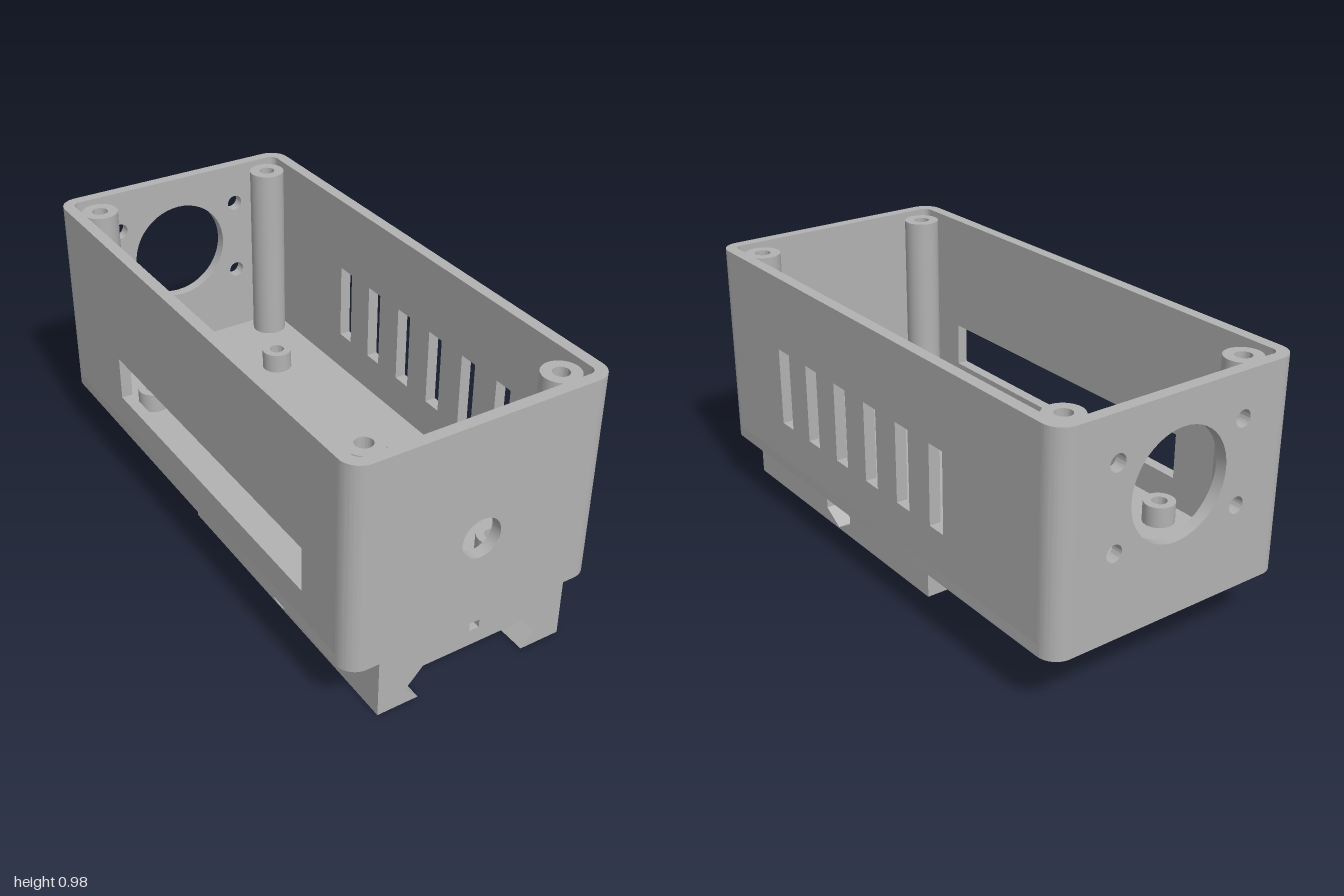
import * as THREE from 'three';
import { toCreasedNormals } from 'three/addons/utils/BufferGeometryUtils.js';

const W = 0.475, L = 1, R = 0.07, T = 0.042;      // case half width, half length, corner radius, wall
const Y0 = 0.215, Y1 = 0.975, FLOOR = Y0 + T;     // case bottom, rim, inner floor
const RX = 0.36, RZ0 = -0.19, RZ1 = 1;            // rail clamp half width and z range
const BOLT = { z: 0.405, y: 0.1, r: 0.055, pocket: 0.095, depth: 0.06 };

export function createModel() {
  const model = new THREE.Group();
  const grey = new THREE.MeshStandardMaterial({ color: 0xb2b2b2 });
  grey.name = 'grey plastic';

  const add = (name, geo) => {
    const mesh = new THREE.Mesh(toCreasedNormals(geo, 0.5), grey);
    mesh.name = name;
    model.add(mesh);
    return mesh;
  };
  const poly = (pts) => new THREE.Shape(pts.map(([x, y]) => new THREE.Vector2(x, y)));
  const rect = (x0, y0, x1, y1) => poly([[x0, y0], [x1, y0], [x1, y1], [x0, y1]]);
  const circle = (x, y, r) => new THREE.Path().absarc(x, y, r, 0, Math.PI * 2, false);
  const extrude = (shape, depth) =>
    new THREE.ExtrudeGeometry(shape, { depth, bevelEnabled: false, curveSegments: 24 });
  // Shape in (x, y), thick along z
  const facing = (shape, z0, z1) => extrude(shape, z1 - z0).translate(0, 0, z0);
  // Shape in (z, y), thick along x
  const sideways = (shape, x0, x1) => extrude(shape, x1 - x0).rotateY(-Math.PI / 2).translate(x1, 0, 0);
  // Shape in (x, -z), thick along y
  const flat = (shape, y0, y1) => extrude(shape, y1 - y0).rotateX(-Math.PI / 2).translate(0, y0, 0);

  // Case floor
  const cx = W - R, cz = L - R;
  const plan = new THREE.Shape();
  plan.absarc(cx, cz, R, 0, Math.PI / 2, false);
  plan.absarc(-cx, cz, R, Math.PI / 2, Math.PI, false);
  plan.absarc(-cx, -cz, R, Math.PI, Math.PI * 1.5, false);
  plan.absarc(cx, -cz, R, Math.PI * 1.5, Math.PI * 2, false);
  add('caseFloor', flat(plan, Y0, FLOOR));

  // Rounded case corners
  [[cx, -cz], [-cx, -cz], [-cx, cz], [cx, cz]].forEach(([x, z], k) => {
    const s = new THREE.Shape();
    s.absarc(0, 0, R, 0, Math.PI / 2, false);
    s.absarc(0, 0, R - T, Math.PI / 2, 0, true);
    add('caseCorner', flat(s, FLOOR, Y1).rotateY(k * Math.PI / 2).translate(x, 0, z));
  });

  // Front wall with cable hole
  const front = rect(-cx, FLOOR, cx, Y1);
  front.holes.push(circle(0, 0.548, 0.0725));
  add('frontWall', facing(front, L - T, L));

  // Back wall with fan opening and four screw holes
  const back = rect(-cx, FLOOR, cx, Y1);
  back.holes.push(circle(0, 0.667, 0.192));
  for (const x of [-0.25, 0.25])
    for (const y of [0.519, 0.815]) back.holes.push(circle(x, y, 0.03));
  add('backWall', facing(back, -L, -L + T));

  // Left wall with vent slots
  const left = rect(-cz, FLOOR, cz, Y1);
  for (let i = 0; i < 6; i++) {
    const z = 0.54 - i * 0.191;
    left.holes.push(rect(z - 0.037, 0.405, z + 0.037, 0.698));
  }
  add('ventWall', sideways(left, W - T, W));

  // Right wall with long window
  const right = rect(-cz, FLOOR, cz, Y1);
  right.holes.push(rect(-0.54, 0.365, 0.74, 0.532));
  add('windowWall', sideways(right, -W, -W + T));

  // Hollow screw posts
  const post = (name, x, z, r, hole, top, depth) => {
    const pts = [[0, top - depth], [hole, top - depth], [hole, top], [r, top], [r, FLOOR]];
    // drawn from the outside bottom up, so faces point outward
    const profile = pts.reverse().map(([a, b]) => new THREE.Vector2(a, b));
    add(name, new THREE.LatheGeometry(profile, 32).toNonIndexed().translate(x, 0, z));
  };
  for (const z of [-0.882, 0.882])
    for (const x of [-0.357, 0.357]) post('lidPost', x, z, 0.066, 0.029, 0.957, 0.25);
  for (const z of [-0.59, 0.795])
    for (const x of [-0.325, 0.222]) post('boardStandoff', x, z, 0.057, 0.028, 0.333, 0.07);

  // Rail clamp: outer cheeks with a hexagonal nut pocket and a round bolt head pocket
  const inner = RX - BOLT.depth;
  const nutSide = rect(RZ0, 0, RZ1, Y0);
  nutSide.holes.push(poly([0, 1, 2, 3, 4, 5].map((i) => {
    const a = Math.PI / 2 + i * Math.PI / 3;
    return [BOLT.z + BOLT.pocket * Math.cos(a), BOLT.y + BOLT.pocket * Math.sin(a)];
  })));
  add('nutCheek', sideways(nutSide, inner, RX));
  const headSide = rect(RZ0, 0, RZ1, Y0);
  headSide.holes.push(circle(BOLT.z, BOLT.y, BOLT.pocket));
  add('boltHeadCheek', sideways(headSide, -RX, -inner));

  // One y band of the clamp, in two halves that leave the bolt bore free
  const bandHalves = (y0, y1) => [-1, 1].map((s) => {
    const edge = [];
    const put = (y) => {
      const w = Math.sqrt(Math.max(0, BOLT.r ** 2 - (y - BOLT.y) ** 2));
      if (!edge.length || y - edge[edge.length - 1][1] > 1e-5) edge.push([BOLT.z + s * w, y]);
    };
    put(y0);
    for (let i = 0; i <= 24; i++) {
      const y = BOLT.y - BOLT.r * Math.cos(i * Math.PI / 24);
      if (y > y0 && y < y1) put(y);
    }
    put(y1);
    const end = s < 0 ? RZ0 : RZ1;
    return poly([[end, y0], ...edge, [end, y1]]);
  });

  // Dovetail jaws: the inner face of each band slopes from xa at its bottom to xb at its top
  for (const [y0, y1, xa, xb] of [[0, 0.055, 0.207, 0.26], [0.055, 0.125, 0.26, 0.193]])
    for (const shape of bandHalves(y0, y1))
      for (const s of [-1, 1]) {
        const geo = s > 0 ? sideways(shape, 0.1, inner) : sideways(shape, -inner, -0.1);
        const p = geo.attributes.position;
        for (let i = 0; i < p.count; i++)
          if (Math.abs(p.getX(i)) < 0.15)
            p.setX(i, s * (xa + (xb - xa) * (p.getY(i) - y0) / (y1 - y0)));
        add('dovetailJaw', geo);
      }

  // Clamp bridge, with a square channel under the case
  for (const shape of bandHalves(0.125, 0.185)) add('clampBridge', sideways(shape, -inner, inner));
  for (const [x0, x1] of [[-inner, -0.019], [0.019, inner]])
    add('channelSide', facing(rect(x0, 0.185, x1, Y0), RZ0, RZ1));

  return model;
}
